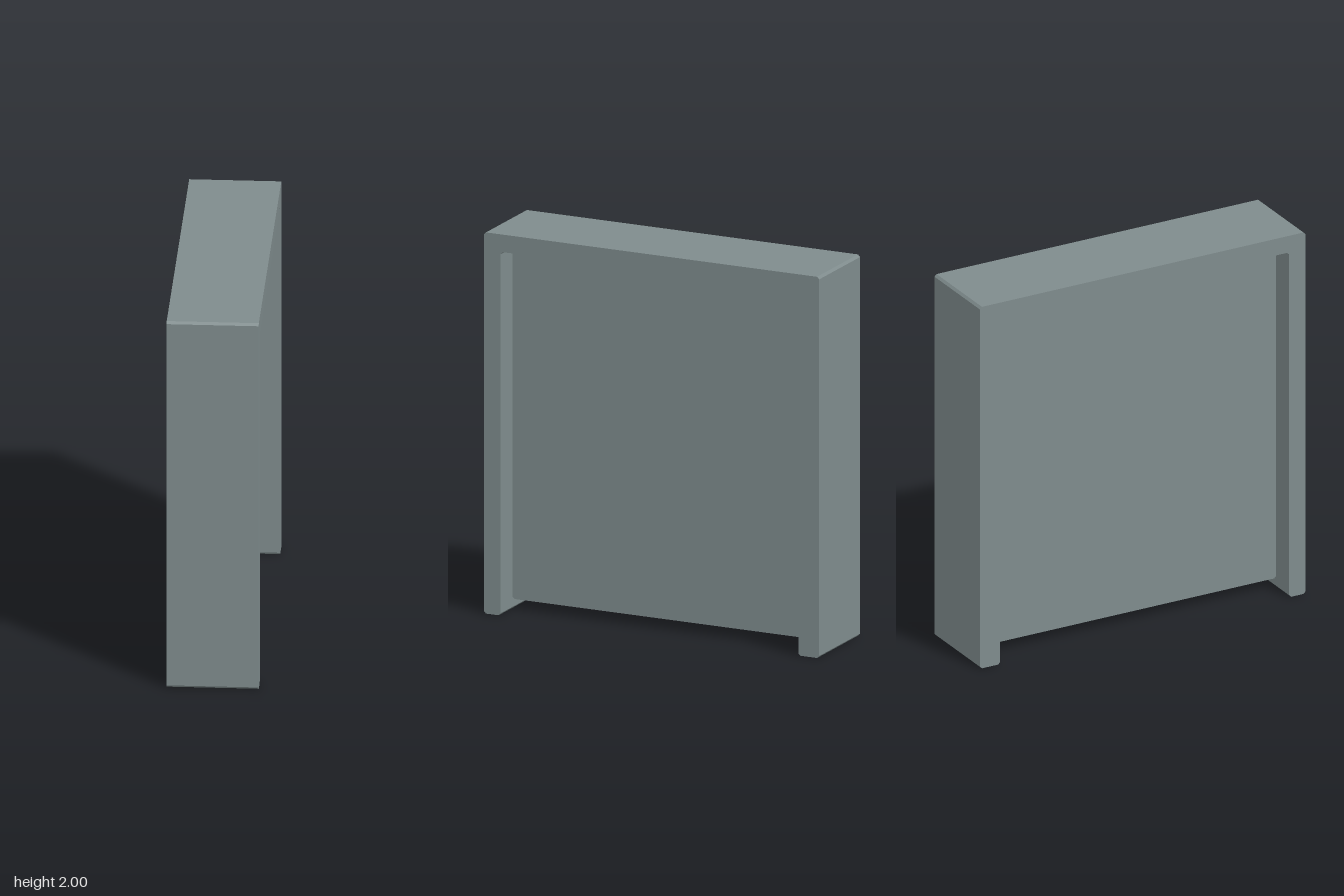
import * as THREE from 'three';

const grey = new THREE.MeshStandardMaterial({ color: 0x7f8c8d });
grey.name = 'grey';

// Extrude a side outline of [z, y] points across x, centred on x = 0
function slab(name, points, width) {
  const shape = new THREE.Shape(points.map(([z, y]) => new THREE.Vector2(-z, y)));
  const geometry = new THREE.ExtrudeGeometry(shape, { depth: width, bevelEnabled: false });
  geometry.translate(0, 0, -width / 2).rotateY(Math.PI / 2);
  const mesh = new THREE.Mesh(geometry, grey);
  mesh.name = name;
  return mesh;
}

export function createModel() {
  const group = new THREE.Group();
  group.name = 'framedPanel';

  const outer = 0.945, front = 0.85, back = -0.827;
  const top = 2, innerTop = 1.908, panelBottom = 0.055;
  const c = 0.012; // chamfer

  // Upside-down U frame with chamfered corners
  group.add(slab('frame', [
    [outer - c, 0], [outer, c], [outer, top - c], [outer - c, top],
    [-outer + c, top], [-outer, top - c], [-outer, c], [-outer + c, 0],
    [back - c, 0], [back, c], [back, innerTop - c], [back - c, innerTop].map((v, i) => (i ? v : back + c)),
    [front - c, innerTop], [front, innerTop - c], [front, c], [front + c, 0],
  ], 0.466));

  // Recessed panel in two halves that meet in the middle
  const mid = (front + back) / 2;
  for (const [name, edge] of [['frontPanelHalf', front], ['backPanelHalf', back]]) {
    const s = Math.sign(edge - mid) * c;
    group.add(slab(name, [
      [mid, panelBottom], [edge - s, panelBottom], [edge, panelBottom + c],
      [edge, innerTop - c], [edge - s, innerTop], [mid, innerTop],
    ], 0.2));
  }
  return group;
}
